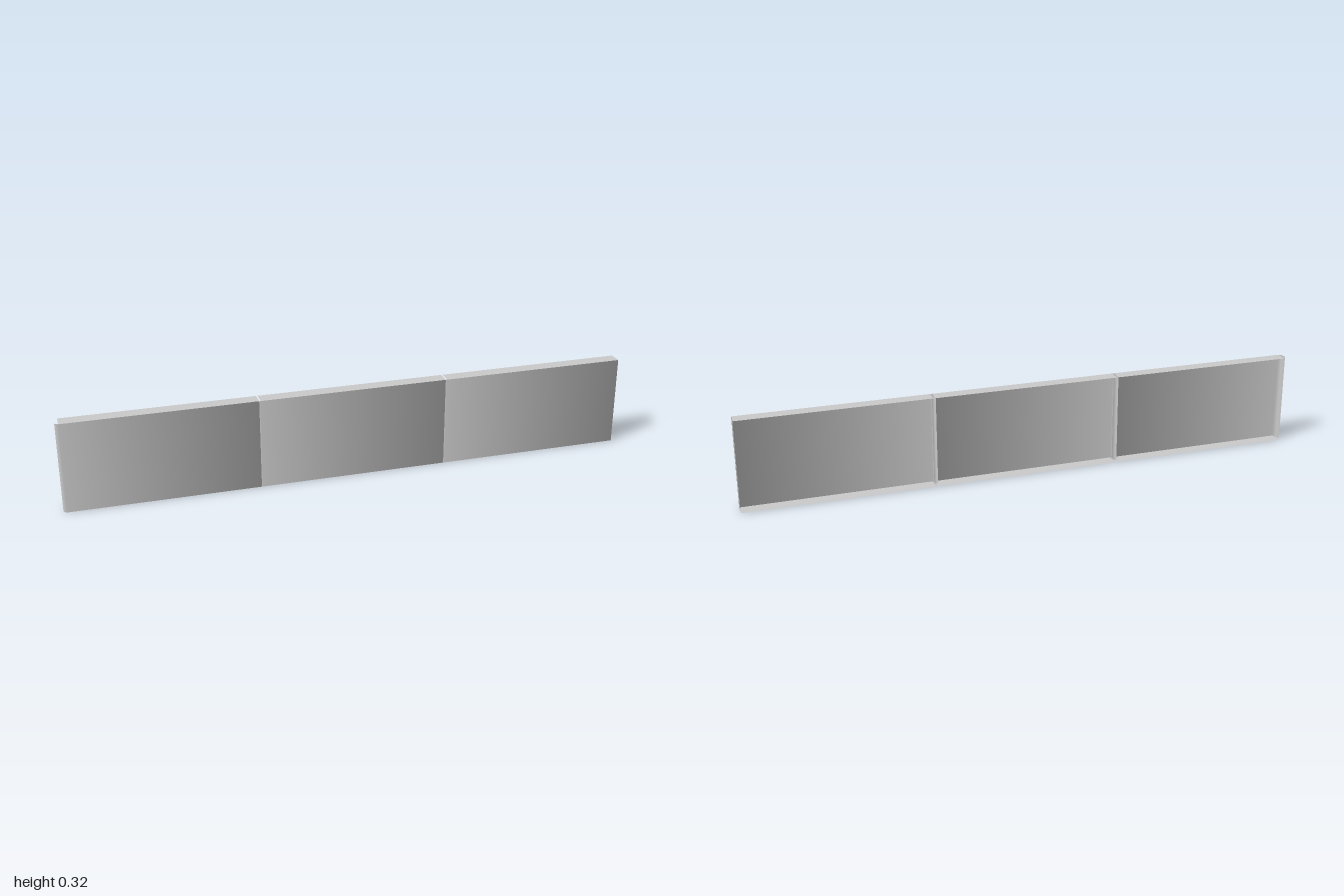
import * as THREE from 'three';

const PANELS = 3;
const PITCH = 0.665;   // spacing of panels along x
const HEIGHT = 0.32;
const DEPTH = 0.048;
const WIDTH = 0.66;    // width of the top and bottom flanges

const material = new THREE.MeshStandardMaterial({ color: 0xcccccc, side: THREE.DoubleSide });

// Sweeps an [x, z] profile upward, with normals averaged across its bends
function foldedSheet(profile, height) {
  const points = profile.map(([x, z]) => new THREE.Vector2(x, z));
  const segmentNormals = points.slice(1).map((p, i) => {
    const d = p.clone().sub(points[i]).normalize();
    return new THREE.Vector2(-d.y, d.x);
  });
  const positions = [], normals = [], indices = [];
  points.forEach((p, i) => {
    const before = segmentNormals[Math.max(i - 1, 0)];
    const after = segmentNormals[Math.min(i, segmentNormals.length - 1)];
    const n = before.clone().add(after).normalize();
    for (const y of [0, height]) {
      positions.push(p.x, y, p.y);
      normals.push(n.x, 0, n.y);
    }
    if (i > 0) {
      const a = 2 * (i - 1), b = 2 * i;
      indices.push(a, b, b + 1, a, b + 1, a + 1);
    }
  });
  const geometry = new THREE.BufferGeometry();
  geometry.setAttribute('position', new THREE.Float32BufferAttribute(positions, 3));
  geometry.setAttribute('normal', new THREE.Float32BufferAttribute(normals, 3));
  geometry.setIndex(indices);
  return geometry;
}

function addMesh(parent, name, geometry) {
  const mesh = new THREE.Mesh(geometry, material);
  mesh.name = name;
  parent.add(mesh);
  return mesh;
}

function createPanel() {
  const panel = new THREE.Group();
  panel.name = 'panel';
  const front = DEPTH / 2, back = -0.007;

  // Front sheet with a tucked tongue on one side and a return on the other
  addMesh(panel, 'frontSheet', foldedSheet([
    [-0.011, back], [-0.011, front - 0.006], [0, front], [WIDTH, front], [WIDTH, back],
  ], HEIGHT));

  // Thin flanges along the top and bottom, open at the back
  const flange = new THREE.PlaneGeometry(WIDTH, DEPTH);
  const top = addMesh(panel, 'topFlange', flange);
  top.rotation.x = -Math.PI / 2;
  top.position.set(WIDTH / 2, HEIGHT, 0);
  const bottom = addMesh(panel, 'bottomFlange', flange);
  bottom.rotation.x = Math.PI / 2;
  bottom.position.set(WIDTH / 2, 0, 0);
  return panel;
}

export function createModel() {
  const model = new THREE.Group();
  model.name = 'panelRow';
  for (let i = 0; i < PANELS; i++) {
    const panel = createPanel();
    panel.position.x = -0.989 + i * PITCH;
    model.add(panel);
  }
  return model;
}
